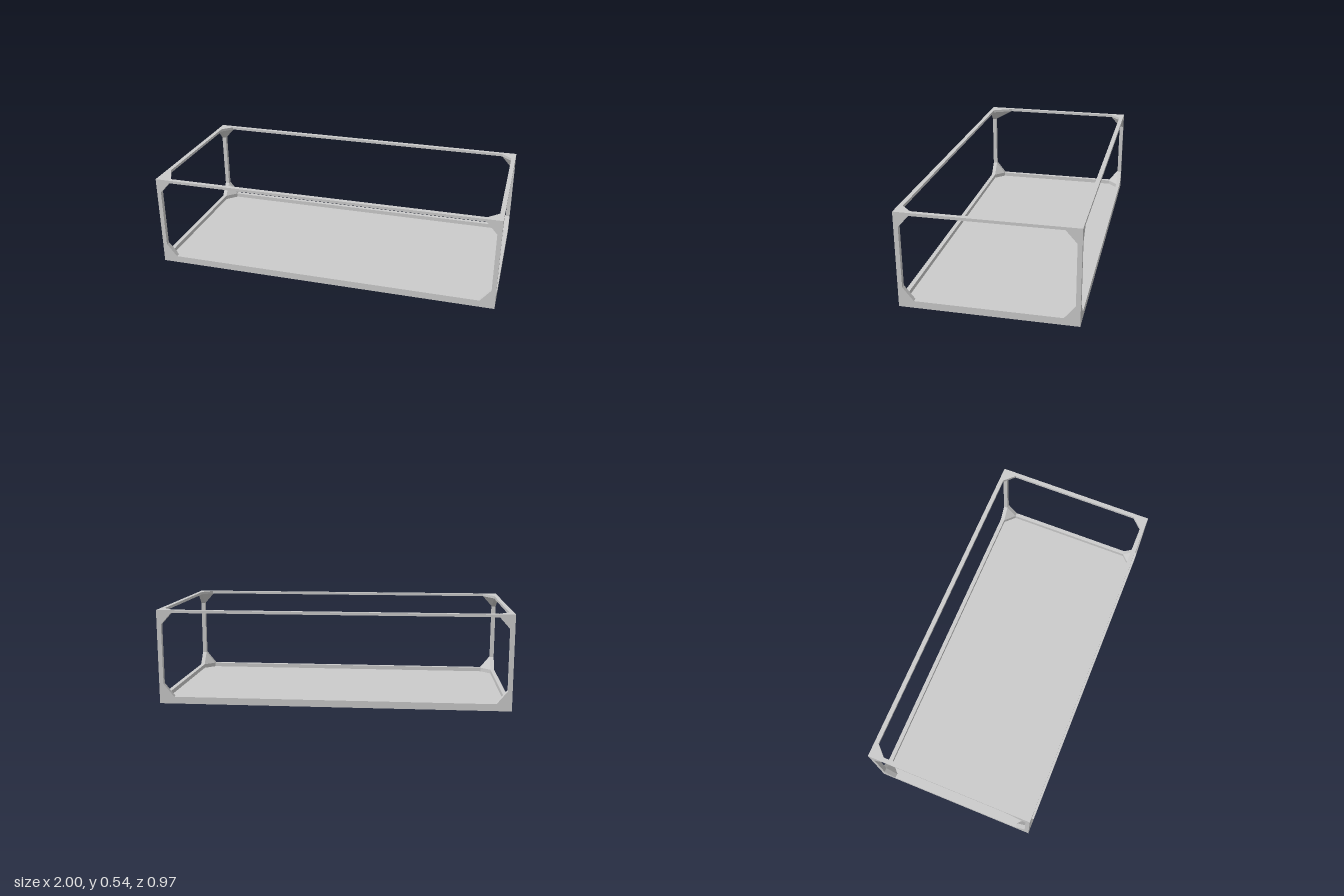
import * as THREE from 'three';
import { ConvexGeometry } from 'three/addons/geometries/ConvexGeometry.js';

const W = 1, D = 0.483, H = 0.543;      // half width, half depth, height
const T = 0.025;                        // bar thickness
const RAIL = 0.016, RIM = 0.04, FLOOR = 0.015;

export function createModel() {
  const group = new THREE.Group();
  const material = new THREE.MeshStandardMaterial({ color: 0xcccccc, flatShading: true });

  const add = (name, geometry) => {
    const mesh = new THREE.Mesh(geometry, material);
    mesh.name = name;
    group.add(mesh);
    return mesh;
  };
  const bar = (name, w, h, d, x, y, z) =>
    add(name, new THREE.BoxGeometry(w, h, d)).position.set(x, y, z);

  // Thin floor inside the base rim
  bar('floor', 2 * (W - T), FLOOR, 2 * (D - T), 0, FLOOR / 2, 0);

  // Base rim and top rails, front/back then left/right
  for (const s of [-1, 1]) {
    for (const [name, h, y] of [['baseRim', RIM, RIM / 2], ['topRail', RAIL, H - RAIL / 2]]) {
      bar(name + 'Long', 2 * W, h, T, 0, y, s * (D - T / 2));
      bar(name + 'Short', T, h, 2 * (D - T), s * (W - T / 2), y, 0);
    }
  }

  // Corner posts, each with a solid three-sided gusset at both ends
  for (const sx of [-1, 1]) for (const sz of [-1, 1]) {
    bar('cornerPost', T, H - RIM - RAIL, T,
      sx * (W - T / 2), (RIM + H - RAIL) / 2, sz * (D - T / 2));

    for (const top of [false, true]) {
      const x = sx * (W - T), z = sz * (D - T);
      const y = top ? H - RAIL : RIM;
      const legX = 0.06, legY = top ? -0.067 : 0.075;
      const legZ = top && sx < 0 && sz > 0 ? 0.12 : 0.06;   // one longer brace
      const base = [[x, z], [x - sx * legX, z], [x, z - sz * legZ]];
      const points = base.map(([px, pz]) => new THREE.Vector3(px, y, pz));
      points.push(new THREE.Vector3(x, y + legY, z));
      // Lower gussets reach down to the floor
      if (!top) points.push(...base.map(([px, pz]) => new THREE.Vector3(px, FLOOR, pz)));
      add(top ? 'upperGusset' : 'lowerGusset', new ConvexGeometry(points));

      // Webs that fill the post depth, flush with the outer frame faces
      const web = (a, b, depth) => {
        const pts = [[x, y, z], a, b].flatMap(p => [
          new THREE.Vector3(...p),
          new THREE.Vector3(p[0] + depth[0], p[1], p[2] + depth[1]),
        ]);
        add('gussetWeb', new ConvexGeometry(pts));
      };
      web([x - sx * legX, y, z], [x, y + legY, z], [0, sz * T]);
      web([x, y, z - sz * legZ], [x, y + legY, z], [sx * T, 0]);
      // Flat triangular web in the plane of the top rails
      if (top) add('gussetCap', new ConvexGeometry(base.flatMap(([px, pz]) => [
        new THREE.Vector3(px, y, pz), new THREE.Vector3(px, H, pz)])));
    }
  }
  return group;
}
